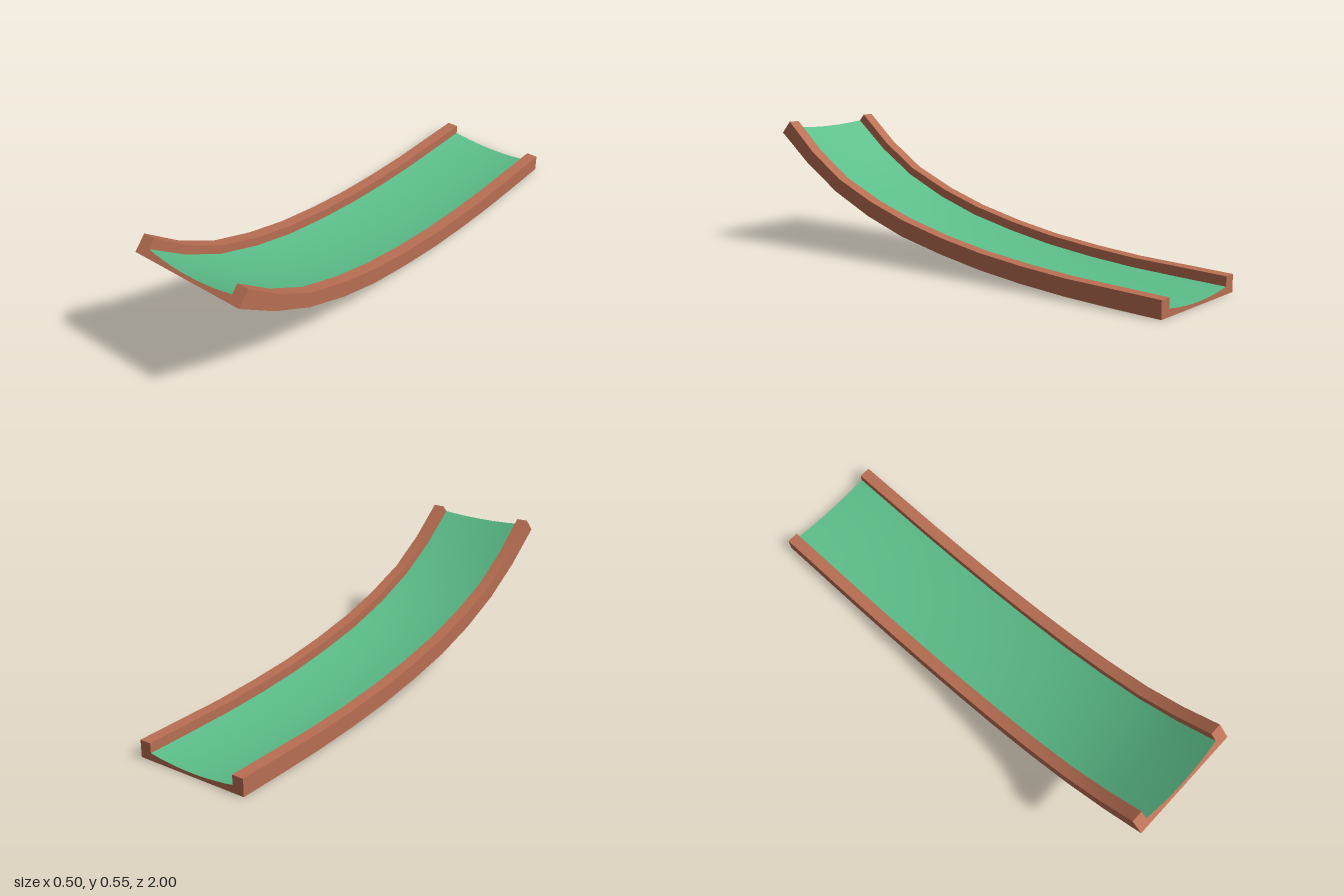
import * as THREE from 'three';

// Side curve from back to front: [z, y] along the underside and along the rail tops
const under = [[-1, 0], [-0.8, 0.004], [-0.59, 0.011], [-0.38, 0.025], [-0.17, 0.047], [0.04, 0.08],
  [0.25, 0.122], [0.45, 0.183], [0.65, 0.267], [0.83, 0.373], [1, 0.5]];
const upper = [[-1, 0.07], [-0.8, 0.075], [-0.59, 0.08], [-0.38, 0.094], [-0.17, 0.115], [0.03, 0.146],
  [0.24, 0.19], [0.43, 0.246], [0.63, 0.325], [0.8, 0.43], [0.95, 0.552]];

// Cross-section point [x, t] at a station; t runs from underside (0) to rail top (1)
const place = ([x, t], i) => [
  x,
  THREE.MathUtils.lerp(under[i][1], upper[i][1], t),
  THREE.MathUtils.lerp(under[i][0], upper[i][0], t),
];

function makeMesh(name, positions, index, material) {
  const g = new THREE.BufferGeometry();
  g.setAttribute('position', new THREE.Float32BufferAttribute(positions, 3));
  g.setIndex(index);
  g.computeVertexNormals();
  const mesh = new THREE.Mesh(g, material);
  mesh.name = name;
  return mesh;
}

// Sweep a run of section points along the curve, smooth within the run
function strip(name, points, material) {
  const positions = [], index = [], n = points.length;
  under.forEach((_, i) => points.forEach((p) => positions.push(...place(p, i))));
  for (let i = 0; i < under.length - 1; i++) {
    for (let j = 0; j < n - 1; j++) {
      const a = i * n + j, b = a + 1;
      index.push(a, b, b + n, a, b + n, a + n);
    }
  }
  return makeMesh(name, positions, index, material);
}

// Flat end face of the section
function cap(name, points, station, front, material) {
  const faces = THREE.ShapeUtils.triangulateShape(points.map((p) => new THREE.Vector2(...p)), []);
  const index = faces.flatMap(([a, b, c]) => (front ? [a, b, c] : [a, c, b]));
  return makeMesh(name, points.flatMap((p) => place(p, station)), index, material);
}

export function createModel() {
  const brown = new THREE.MeshStandardMaterial({ color: 0xb96f53 });
  brown.name = 'clay brown';
  const green = new THREE.MeshStandardMaterial({ color: 0x5cbe8a });
  green.name = 'track green';

  // Shallow dished bed, listed from left (+x) to right
  const bed = [];
  for (let k = 0; k <= 10; k++) {
    const u = 1 - k / 5;
    bed.push([0.2 * u, 0.2 + 0.235 * u * u]);
  }
  const L = 0.25, R = 0.2;
  const section = [[-L, 0], [L, 0], [L, 1], [R, 1], ...bed, [-R, 1], [-L, 1]];

  const group = new THREE.Group();
  group.name = 'curvedRamp';
  group.add(
    strip('underside', [[-L, 0], [L, 0]], brown),
    strip('leftOuterWall', [[L, 0], [L, 1]], brown),
    strip('leftRailTop', [[L, 1], [R, 1]], brown),
    strip('leftInnerWall', [[R, 1], bed[0]], brown),
    strip('trackBed', bed, green),
    strip('rightInnerWall', [bed[10], [-R, 1]], brown),
    strip('rightRailTop', [[-R, 1], [-L, 1]], brown),
    strip('rightOuterWall', [[-L, 1], [-L, 0]], brown),
    cap('frontEnd', section, under.length - 1, true, brown),
    cap('backEnd', section, 0, false, brown),
  );
  return group;
}
